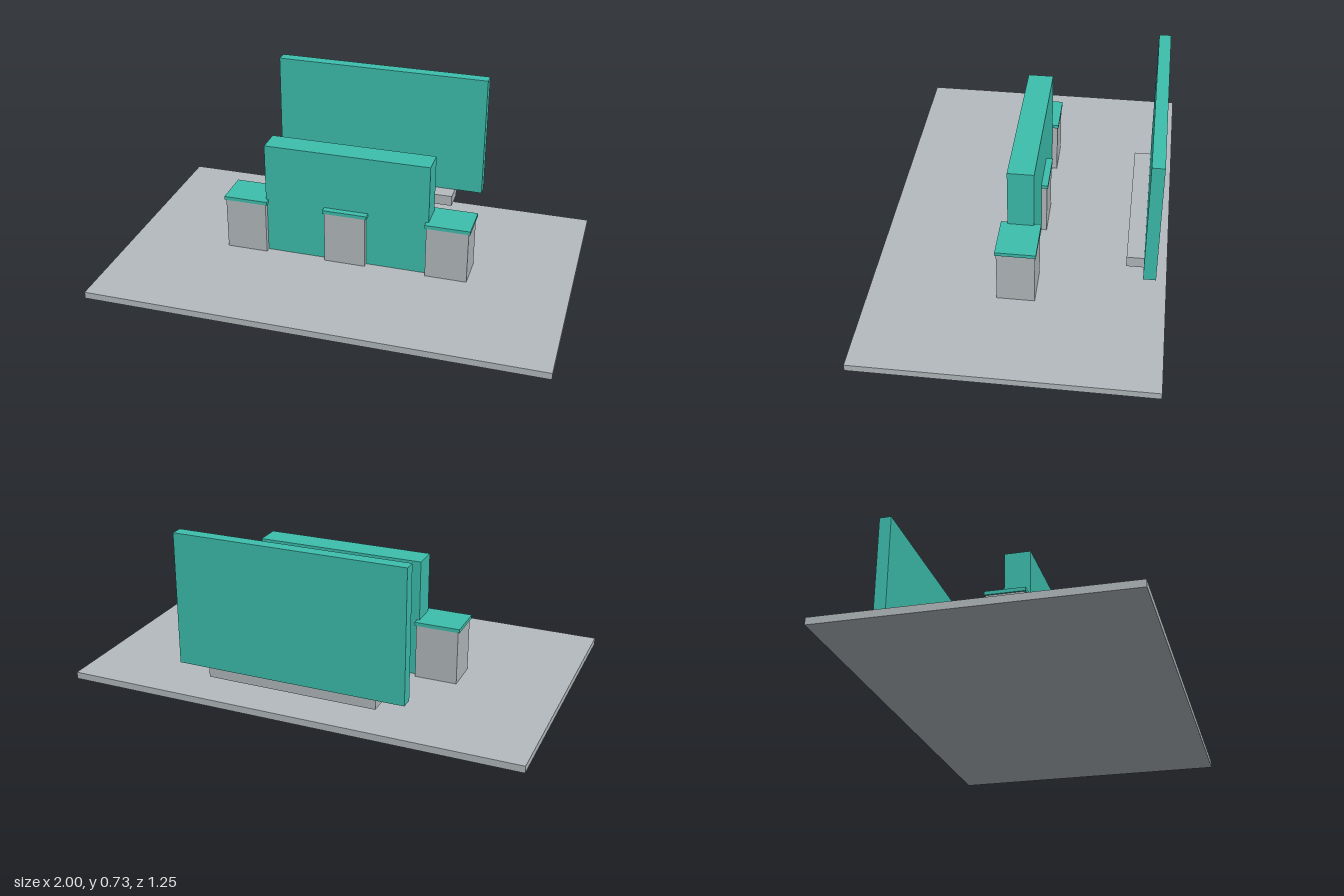
import * as THREE from 'three';

export function createModel() {
  const group = new THREE.Group();
  const grey = new THREE.MeshStandardMaterial({ color: 0xb4babe });
  grey.name = 'grey';
  const teal = new THREE.MeshStandardMaterial({ color: 0x3dbfae });
  teal.name = 'teal';

  // Box given by its lower and upper corners
  function box(name, material, [x0, y0, z0], [x1, y1, z1]) {
    const mesh = new THREE.Mesh(new THREE.BoxGeometry(x1 - x0, y1 - y0, z1 - z0), material);
    mesh.position.set((x0 + x1) / 2, (y0 + y1) / 2, (z0 + z1) / 2);
    mesh.name = name;
    group.add(mesh);
  }

  // Ground slab
  box('baseSlab', grey, [-1, 0, -0.623], [1, 0.03, 0.623]);

  // Thick upright panel, set into the slab
  box('centrePanel', teal, [-0.372, 0.01, -0.056], [0.372, 0.55, 0.056]);

  // Three capped posts straddling the panel
  for (const [side, x] of [['right', -0.46], ['middle', 0], ['left', 0.46]]) {
    box(side + 'Post', grey, [x - 0.093, 0.03, -0.08], [x + 0.093, 0.27, 0.08]);
    box(side + 'PostCap', teal, [x - 0.1, 0.27, -0.085], [x + 0.1, 0.286, 0.085]);
  }

  // Raised back panel and the ledge below it
  box('backPanel', teal, [-0.5, 0.152, -0.575], [0.5, 0.726, -0.522]);
  box('backLedge', grey, [-0.372, 0.102, -0.558], [0.372, 0.152, -0.448]);

  return group;
}
